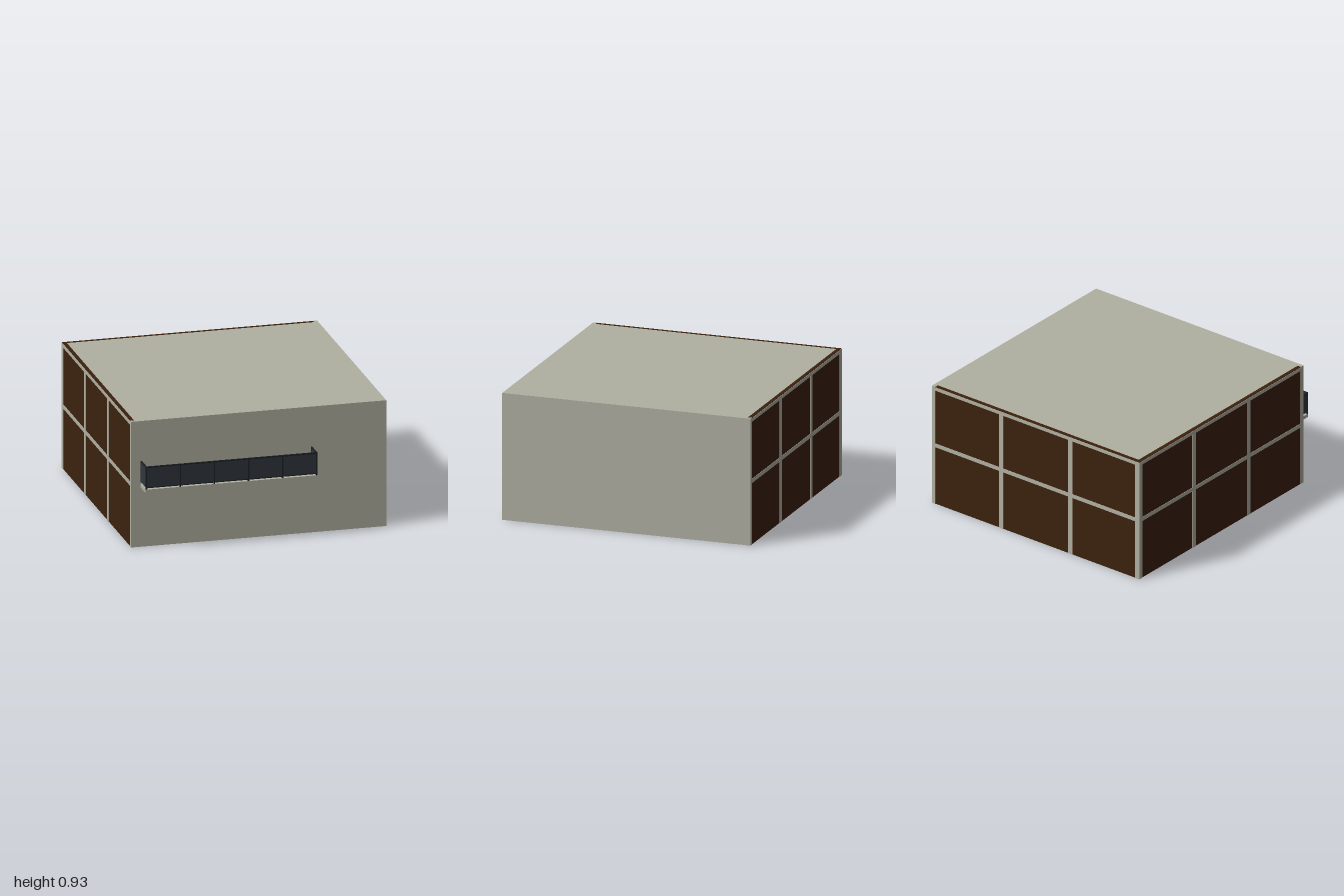
import * as THREE from 'three';

const material = (name, color) => {
  const m = new THREE.MeshStandardMaterial({ color });
  m.name = name;
  return m;
};

export function createModel() {
  const concrete = material('concrete', 0xb0b0a2);
  const wood = material('dark wood', 0x3c210d);
  const frame = material('railing metal', 0x1c2228);
  const glass = material('dark glass', 0x2f373e);

  const model = new THREE.Group();
  model.name = 'building';

  // Box given by its lower and upper corners
  function box(parent, name, mat, [x0, y0, z0], [x1, y1, z1]) {
    const mesh = new THREE.Mesh(new THREE.BoxGeometry(x1 - x0, y1 - y0, z1 - z0), mat);
    mesh.position.set((x0 + x1) / 2, (y0 + y1) / 2, (z0 + z1) / 2);
    mesh.name = name;
    parent.add(mesh);
  }
  function group(name) {
    const g = new THREE.Group();
    g.name = name;
    model.add(g);
    return g;
  }

  const X = 0.93, H = 0.93, BACK = -1, FRONT = 0.86, T = 0.03, R = 0.003;

  // Concrete shell, open underneath
  const shell = group('shell');
  box(shell, 'frontWall', concrete, [-X, 0, FRONT - T], [X, H, FRONT]);
  box(shell, 'leftWall', concrete, [X - T, 0, BACK], [X, H, FRONT - T]);
  box(shell, 'roof', concrete, [-X + T, H - T, BACK + T], [X - T, H, FRONT - T]);

  // Timber walls, set back slightly behind the grid bars
  const timber = group('timberWalls');
  box(timber, 'backWall', wood, [-X + R, 0, BACK + R], [X - T, H, BACK + T]);
  box(timber, 'rightWall', wood, [-X + R, 0, BACK + T], [-X + T, H, FRONT - T]);

  // Grid bars: two rows by three columns on each timber wall
  const grid = group('wallGrid');
  const half = 0.019, top = H - 0.004;
  const rows = [[0.45, 0.48], [H - T, top]];
  for (const [y0, y1] of rows) {
    box(grid, 'backRail', concrete, [-X, y0, BACK], [X - T, y1, BACK + R]);
    box(grid, 'rightRail', concrete, [-X, y0, BACK + R], [-X + R, y1, FRONT - T]);
  }
  for (const c of [-X + half, -0.31, 0.31]) {
    box(grid, 'backMullion', concrete, [c - half, 0, BACK], [c + half, top, BACK + R]);
    const z = c - 0.07;
    box(grid, 'rightMullion', concrete, [-X, 0, Math.max(z - half, BACK + R)], [-X + R, top, z + half]);
  }

  // Balcony slab
  const balcony = group('balcony');
  const L = -0.86, W = 1.25, E = L + W, Z = 1, slabTop = 0.466, railTop = 0.635;
  box(balcony, 'slab', concrete, [L, 0.44, FRONT], [E, slabTop, Z]);

  // Front railing: posts, panels and top rail
  const d = 0.01, bays = 5, step = (W - d) / bays;
  for (let i = 0; i <= bays; i++) {
    const x = L + i * step;
    box(balcony, 'post', frame, [x, slabTop, Z - d], [x + d, railTop - d, Z]);
    if (i < bays) {
      box(balcony, 'frontPanel', glass, [x + d, 0.48, Z - 0.008], [x + step, railTop - d, Z - 0.002]);
      box(balcony, 'lowerRail', frame, [x + d, 0.476, Z - d], [x + step, 0.483, Z]);
    }
  }
  box(balcony, 'frontTopRail', frame, [L, railTop - d, Z - d], [E, railTop, Z]);

  // Side railings
  for (const x of [L, E - d]) {
    box(balcony, 'sideTopRail', frame, [x, railTop - d, FRONT], [x + d, railTop, Z - d]);
    box(balcony, 'wallPost', frame, [x, 0.48, FRONT], [x + d, railTop - d, FRONT + d]);
    box(balcony, 'sidePanel', glass, [x + 0.002, 0.48, FRONT + d], [x + 0.008, railTop - d, Z - d]);
  }

  return model;
}
